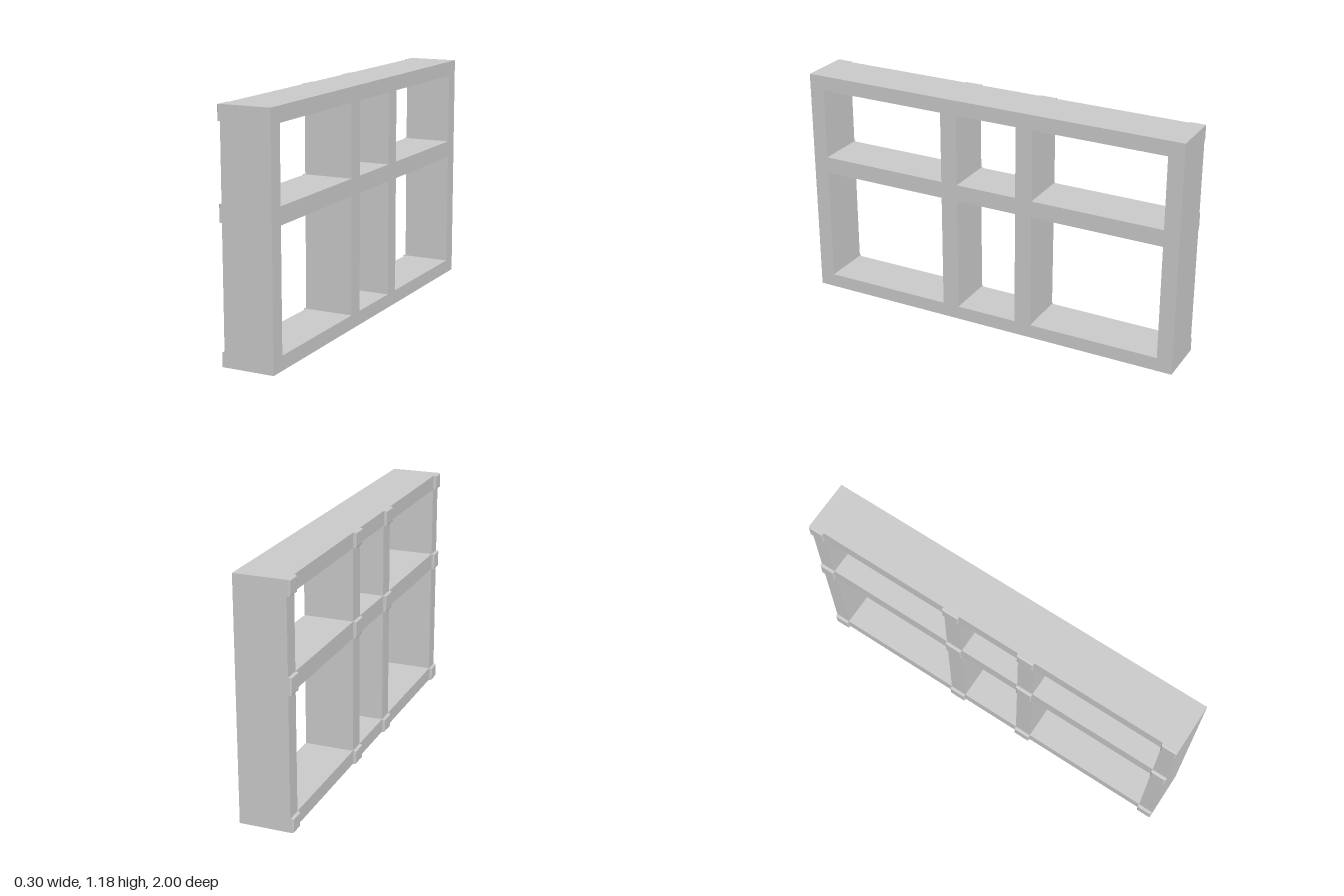
import * as THREE from 'three';

const material = new THREE.MeshStandardMaterial({ color: 0xcccccc, flatShading: true });

// Spans of the uprights (along the length) and of the rails (in height)
const stiles = [[-0.998, -0.92], [-0.247, -0.16], [0.16, 0.247], [0.92, 0.998]];
const rails = [[0, 0.07], [0.658, 0.743], [1.105, 1.18]];
const DEPTH = 0.25;

function rectangle(PathType, [u0, u1], [v0, v1], inset = 0) {
  const p = new PathType();
  p.moveTo(u0 + inset, v0 + inset);
  p.lineTo(u1 - inset, v0 + inset);
  p.lineTo(u1 - inset, v1 - inset);
  p.lineTo(u0 + inset, v1 - inset);
  p.closePath();
  return p;
}

export function createModel() {
  const group = new THREE.Group();
  group.name = 'windowFrame';

  // Deep frame with six openings between the bars
  const outline = rectangle(THREE.Shape, [-0.998, 0.998], [0, 1.18]);
  for (let i = 0; i < stiles.length - 1; i++) {
    for (let j = 0; j < rails.length - 1; j++) {
      outline.holes.push(rectangle(THREE.Path,
        [stiles[i][1], stiles[i + 1][0]], [rails[j][1], rails[j + 1][0]]));
    }
  }
  const frameGeometry = new THREE.ExtrudeGeometry(outline, { depth: DEPTH, bevelEnabled: false });
  frameGeometry.translate(0, 0, -DEPTH / 2);
  const frame = new THREE.Mesh(frameGeometry, material);
  frame.name = 'frame';
  group.add(frame);

  // Raised block with chamfered edges at every crossing of the bars
  const bevel = 0.006;
  for (const stile of stiles) {
    for (const rail of rails) {
      const geometry = new THREE.ExtrudeGeometry(rectangle(THREE.Shape, stile, rail, bevel), {
        depth: 0.014, bevelSize: bevel, bevelThickness: bevel, bevelSegments: 2,
      });
      geometry.translate(0, 0, DEPTH / 2 - 0.005);
      const block = new THREE.Mesh(geometry, material);
      block.name = 'jointBlock';
      group.add(block);
    }
  }

  // The blocks face -x, and the frame stands at a slight yaw
  group.rotation.y = -Math.PI / 2 + 0.0165;
  group.position.x = 0.0065;

  const model = new THREE.Group();
  model.name = 'model';
  model.add(group);
  return model;
}
